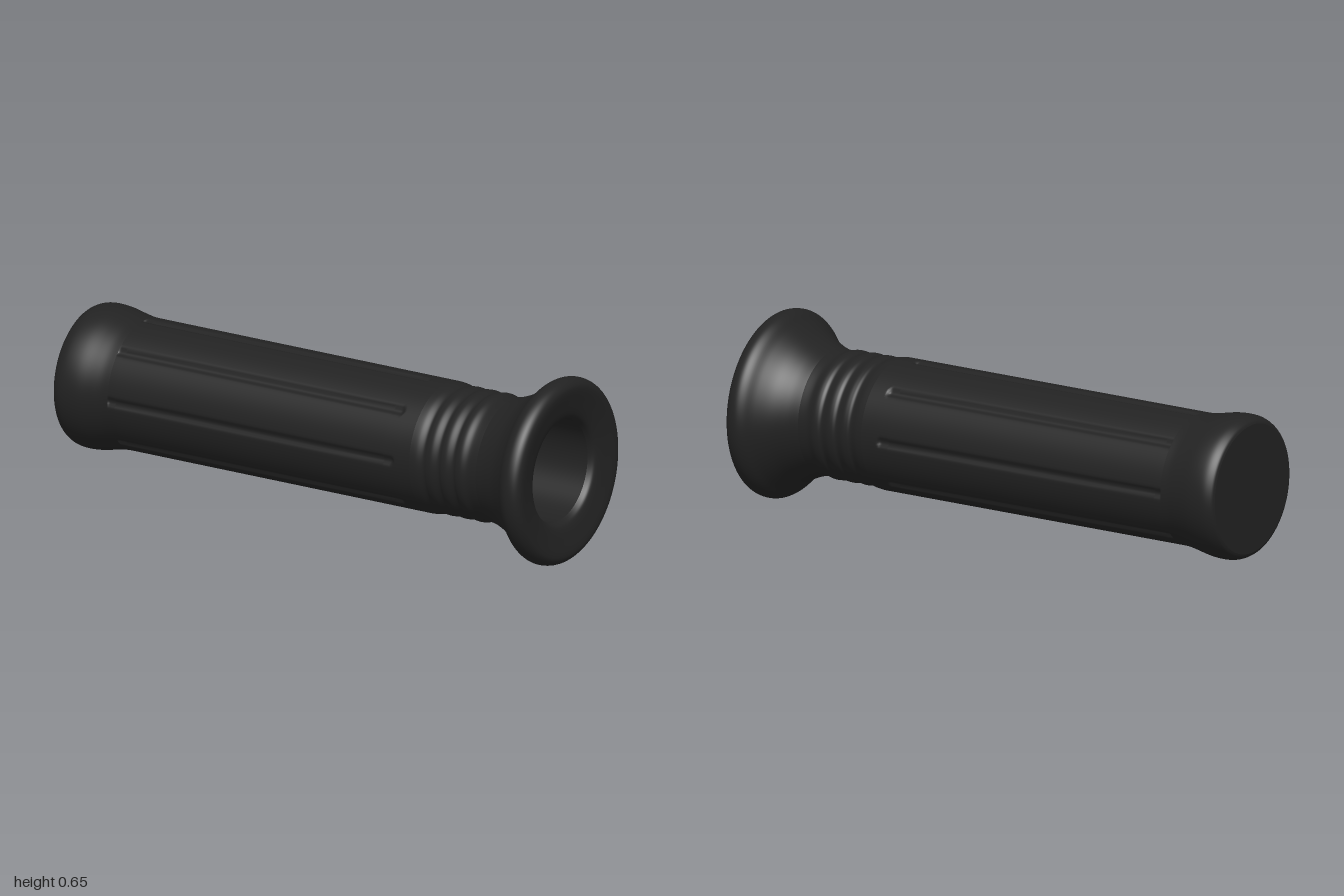
import * as THREE from 'three';
import { mergeVertices } from 'three/addons/utils/BufferGeometryUtils.js';

const SEGMENTS = 192;
const rubber = new THREE.MeshStandardMaterial({ color: 0x222222 });
rubber.name = 'black rubber';

// Revolves a profile of [radius, distance along the grip] around the axis
function revolve(name, points, smooth = 0) {
  let profile = points.map(([r, t]) => new THREE.Vector2(r, t));
  if (smooth) profile = new THREE.SplineCurve(profile).getPoints(smooth);
  const geometry = new THREE.LatheGeometry(profile, SEGMENTS, Math.PI / 8);
  const mesh = new THREE.Mesh(geometry, rubber);
  mesh.name = name;
  return mesh;
}

// Presses eight round-ended grooves into the sleeve
function pressGrooves(mesh, radius, start, end) {
  const width = 0.019, depth = 0.009, step = Math.PI / 4;
  let geometry = mesh.geometry;
  geometry.deleteAttribute('uv');
  geometry.deleteAttribute('normal');
  geometry = mergeVertices(geometry);
  const p = geometry.attributes.position;
  for (let i = 0; i < p.count; i++) {
    const x = p.getX(i), t = p.getY(i), z = p.getZ(i);
    const angle = Math.atan2(x, z);
    const across = (angle - Math.round(angle / step) * step) * radius;
    const along = Math.max(start + width - t, t - end + width, 0);
    const d = Math.hypot(across, along) / width;
    if (d >= 1) continue;
    const k = 1 - depth * THREE.MathUtils.smoothstep(1 - d, 0, 0.7) / radius;
    p.setXYZ(i, x * k, t, z * k);
  }
  geometry.computeVertexNormals();
  mesh.geometry = geometry;
}

export function createModel() {
  const model = new THREE.Group();
  model.name = 'handlebarGrip';

  const grip = new THREE.Group();
  grip.name = 'grip';
  grip.rotation.set(0, -THREE.MathUtils.degToRad(23.4), -Math.PI / 2);
  grip.position.set(-0.91, 0.326, -0.425);
  model.add(grip);

  // Flat closed end and the bulge around it
  grip.add(revolve('endFace', [[0, 0], [0.226, 0]]));
  grip.add(revolve('endBulge', [[0.226, 0], [0.238, 0.007], [0.249, 0.03], [0.252, 0.06],
    [0.249, 0.1], [0.239, 0.15], [0.232, 0.19], [0.23, 0.22]], 32));

  // Grooved sleeve, with denser rows where the grooves begin and end
  const rows = [];
  const addRows = (a, b, n) => {
    for (let i = 0; i < n; i++) rows.push([0.23, a + (b - a) * i / n]);
  };
  addRows(0.2, 0.25, 12);
  addRows(0.25, 1.34, 4);
  addRows(1.34, 1.4, 14);
  rows.push([0.23, 1.4], [0.23, 1.45]);
  const sleeve = revolve('groovedSleeve', rows);
  pressGrooves(sleeve, 0.23, 0.205, 1.39);
  grip.add(sleeve);

  // Neck with three soft rings
  const neck = [[0.23, 1.45], [0.227, 1.475], [0.22, 1.5]];
  for (const t of [1.53, 1.59, 1.65]) {
    neck.push([0.223, t - 0.014], [0.224, t + 0.004], [0.218, t + 0.03]);
  }
  neck.push([0.22, 1.715]);
  grip.add(revolve('ringedNeck', neck, 72));

  // Flared flange with a rounded rim, dished toward the bore
  grip.add(revolve('flange', [[0.22, 1.715], [0.232, 1.755], [0.255, 1.805], [0.288, 1.85],
    [0.316, 1.88], [0.327, 1.905], [0.323, 1.932], [0.307, 1.949], [0.285, 1.952],
    [0.245, 1.945], [0.21, 1.937], [0.19, 1.927], [0.18, 1.908]], 64));

  // Hollow bore closed at the far end
  grip.add(revolve('boreWall', [[0.18, 1.908], [0.18, 0.1]]));
  grip.add(revolve('boreFloor', [[0.18, 0.1], [0, 0.1]]));

  return model;
}
